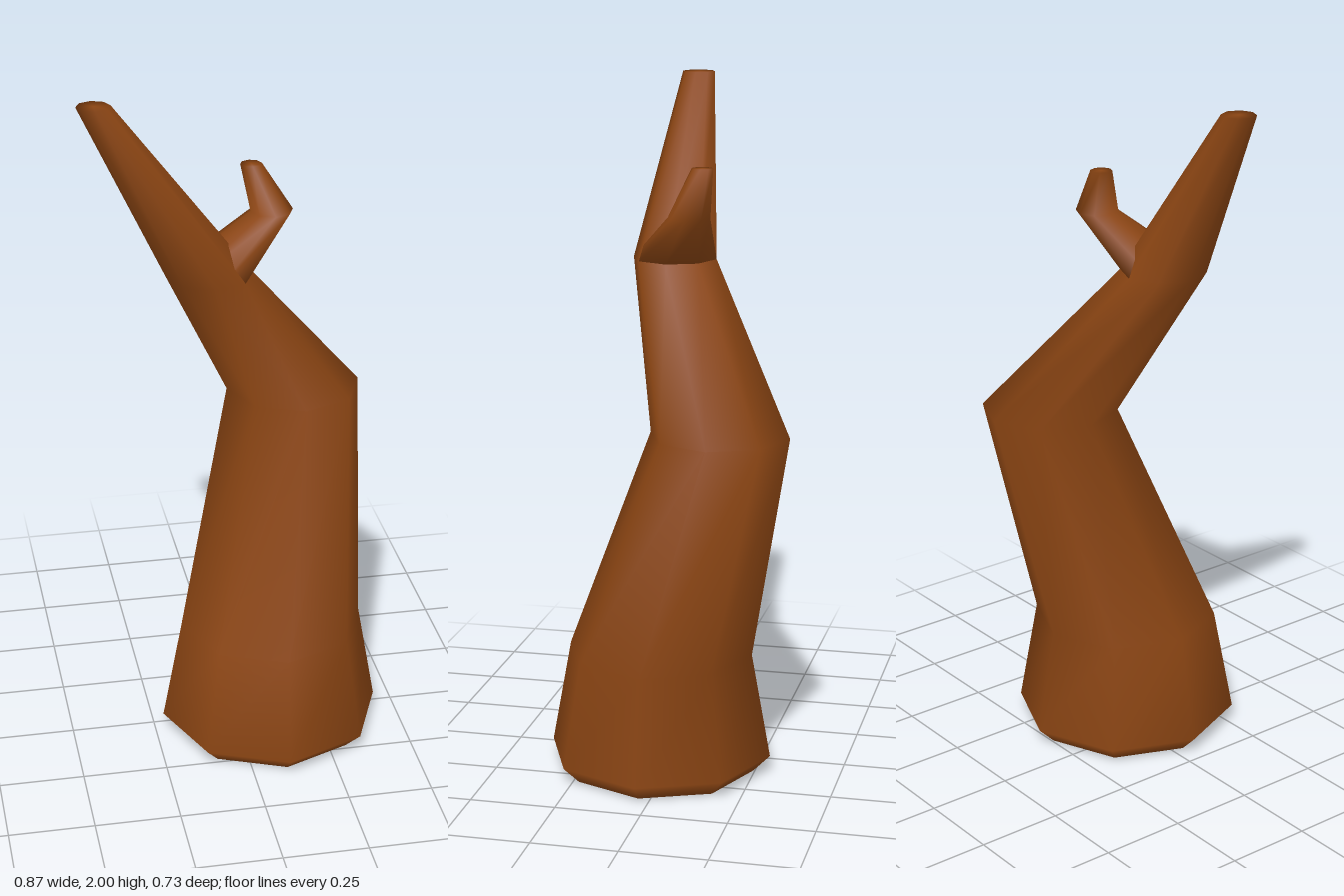
import * as THREE from 'three';

const SIDES = 8;

// Smooth limb lofted through level octagonal rings [x, y, z, radius], capped at both ends
function limb(rings) {
  const pos = [], index = [];
  for (const [x, y, z, r] of rings) {
    for (let i = 0; i < SIDES; i++) {
      const a = (i / SIDES) * Math.PI * 2;
      pos.push(x + r * Math.cos(a), y, z + r * Math.sin(a));
    }
  }
  const first = rings[0], last = rings[rings.length - 1];
  const bottom = rings.length * SIDES, top = bottom + 1;
  const topRing = (rings.length - 1) * SIDES;
  pos.push(first[0], first[1], first[2], last[0], last[1], last[2]);

  for (let i = 0; i < SIDES; i++) {
    const j = (i + 1) % SIDES;
    for (let k = 0; k < topRing; k += SIDES) {
      const a = k + i, b = k + j, c = a + SIDES, d = b + SIDES;
      index.push(a, c, b, b, c, d);
    }
    index.push(bottom, i, j, top, topRing + j, topRing + i);
  }
  const geo = new THREE.BufferGeometry();
  geo.setAttribute('position', new THREE.Float32BufferAttribute(pos, 3));
  geo.setIndex(index);
  geo.computeVertexNormals();
  return geo;
}

export function createModel() {
  const group = new THREE.Group();
  group.name = 'bareTree';
  const bark = new THREE.MeshStandardMaterial({ color: 0x8b4513 });
  bark.name = 'brown bark';

  const add = (name, rings) => {
    const mesh = new THREE.Mesh(limb(rings), bark);
    mesh.name = name;
    group.add(mesh);
  };

  // Ring shared by the trunk and the side branch
  const fork = [-0.075, 1.49, 0.032, 0.123];

  // Crooked trunk, from the bevelled foot to the narrow tip
  add('trunk', [
    [0.105, 0, 0.035, 0.28],
    [0.105, 0.05, 0.035, 0.33],
    [0.107, 0.36, 0.034, 0.273],
    [0.21, 1.04, -0.163, 0.2],
    fork,
    [-0.39, 2, 0.032, 0.048],
  ]);

  // Short bent branch growing out of the fork
  add('branch', [
    fork,
    [0.12, 1.637, -0.053, 0.061],
    [0.065, 1.77, -0.079, 0.031],
  ]);

  return group;
}
